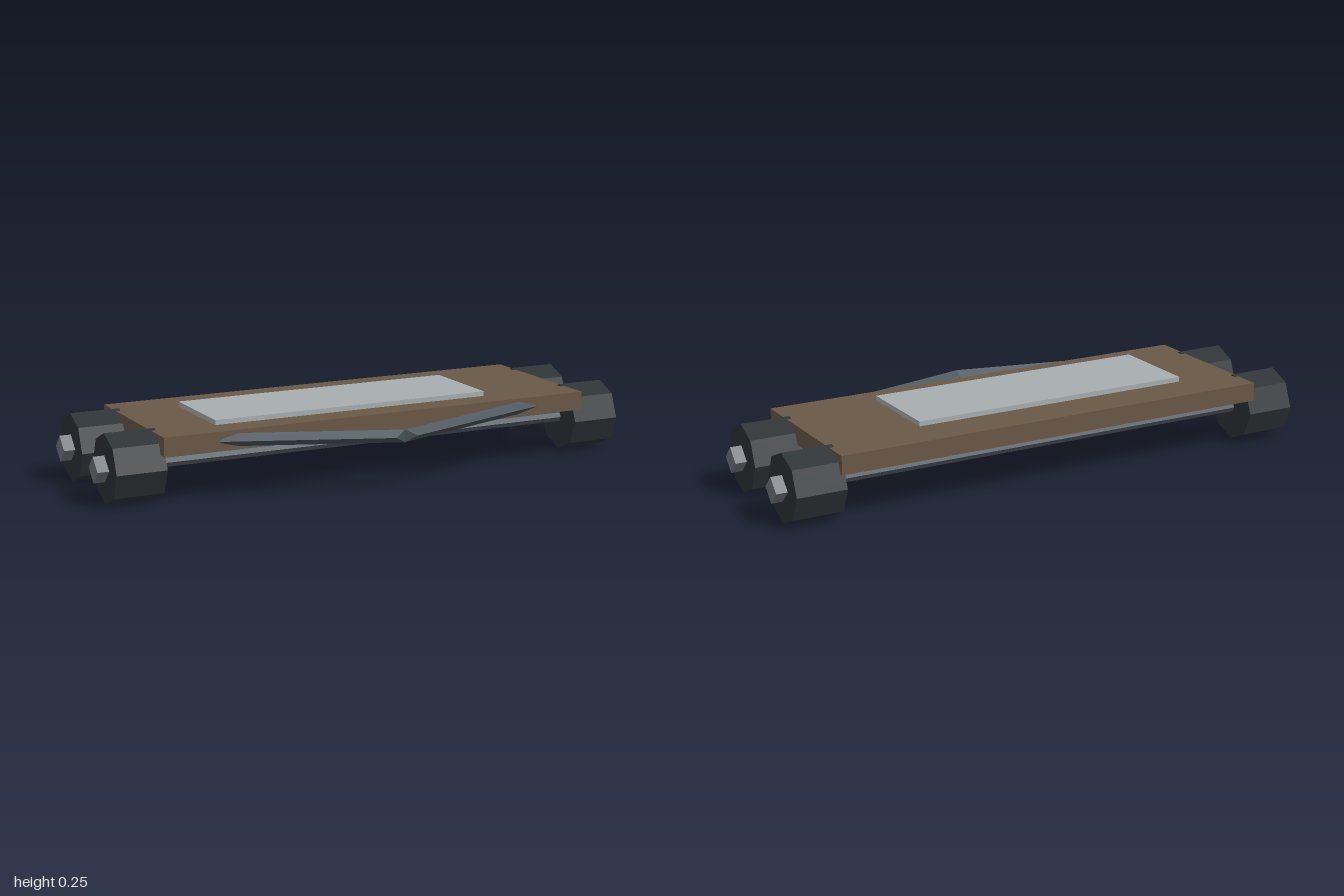
import * as THREE from 'three';

const paint = (color) => new THREE.MeshStandardMaterial({ color, flatShading: true });

function add(parent, name, geometry, material, x = 0, y = 0, z = 0) {
  const mesh = new THREE.Mesh(geometry, material);
  mesh.name = name;
  mesh.position.set(x, y, z);
  parent.add(mesh);
  return mesh;
}

// Cylinder lying along x, with a corner pointing straight up
function rod(radiusY, radiusZ, length, sides) {
  return new THREE.CylinderGeometry(1, 1, length, sides)
    .rotateZ(Math.PI / 2)
    .scale(1, radiusY, radiusZ);
}

// Four-sided bar whose slanted diamond section runs from the tip into the deck
function drawbarArm(side) {
  const section = [[0.04, 0, 0.015], [0, 0.022, 0], [-0.04, 0, -0.015], [0, -0.022, 0]];
  const centres = [[0, 0.187, 0.357], [0.57, 0.199, 0.19]];
  const positions = centres.flatMap((c) =>
    section.flatMap((s) => [side * (c[0] + s[0]), c[1] + s[1], c[2] + s[2]]));
  const index = [0, 1, 2, 0, 2, 3, 4, 6, 5, 4, 7, 6];
  for (let i = 0; i < 4; i++) {
    const j = (i + 1) % 4;
    index.push(i, i + 4, j + 4, i, j + 4, j);
  }
  if (side < 0) index.reverse();
  const geometry = new THREE.BufferGeometry();
  geometry.setAttribute('position', new THREE.Float32BufferAttribute(positions, 3));
  geometry.setIndex(index);
  geometry.computeVertexNormals();
  return geometry;
}

export function createModel() {
  const model = new THREE.Group();
  model.name = 'cart';
  const wood = paint(0x6a5846);
  const plate = paint(0xa8aeb0);
  const tyre = paint(0x2d3235);
  const metal = paint(0x70757a);
  const steel = paint(0x475058);

  // Deck with an off-centre plate on top
  add(model, 'deck', new THREE.BoxGeometry(1.6, 0.065, 0.567), wood, 0, 0.1995, -0.0835);
  add(model, 'topPlate', new THREE.BoxGeometry(1.03, 0.03, 0.327), plate, -0.065, 0.234, -0.0585);

  // Two axles, each with a wheel and hub at both ends
  const axleY = 0.119;
  for (const [label, z] of [['front', 0.075], ['rear', -0.26]]) {
    const wheelset = new THREE.Group();
    wheelset.name = `${label}Wheelset`;
    wheelset.position.set(0, axleY, z);
    model.add(wheelset);
    add(wheelset, 'axle', rod(0.018, 0.017, 1.64, 6), steel);
    for (const side of [1, -1]) {
      const end = side > 0 ? 'left' : 'right';
      add(wheelset, `${end}Wheel`, rod(0.119, 0.113, 0.176, 8), tyre, side * 0.872);
      add(wheelset, `${end}Hub`, rod(0.045, 0.043, 0.2, 4), metal, side * 0.9);
    }
  }

  // V-shaped drawbar at the front
  const drawbar = new THREE.Group();
  drawbar.name = 'drawbar';
  model.add(drawbar);
  add(drawbar, 'leftArm', drawbarArm(1), steel);
  add(drawbar, 'rightArm', drawbarArm(-1), steel);

  return model;
}
